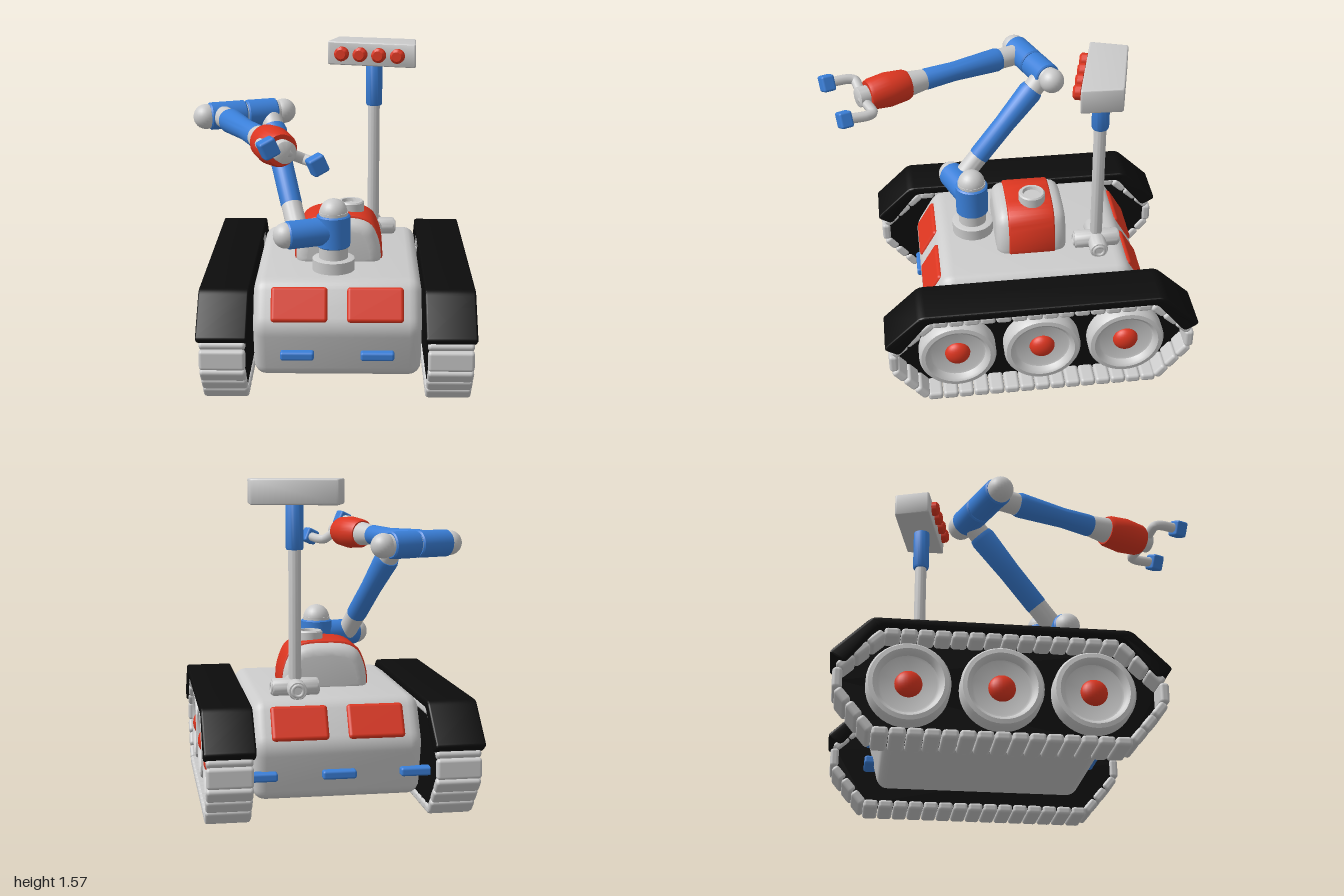
import * as THREE from 'three';
import { toCreasedNormals } from 'three/addons/utils/BufferGeometryUtils.js';
import { RoundedBoxGeometry } from 'three/addons/geometries/RoundedBoxGeometry.js';

const mat = (color) => new THREE.MeshStandardMaterial({ color });
const grey = mat(0xcccccc), red = mat(0xdd3620), blue = mat(0x3a7fd8), black = mat(0x0c0c0c);
const V = (x, y, z) => new THREE.Vector3(x, y, z);

function add(parent, name, geometry, material, x = 0, y = 0, z = 0) {
  const mesh = new THREE.Mesh(geometry, material);
  mesh.name = name;
  mesh.position.set(x, y, z);
  parent.add(mesh);
  return mesh;
}

// Closed outline with every corner rounded by about r
function roundedShape(points, r) {
  const shape = new THREE.Shape();
  const p = points.map(([x, y]) => new THREE.Vector2(x, y));
  p.forEach((c, i) => {
    const prev = p[(i + p.length - 1) % p.length], next = p[(i + 1) % p.length];
    const toward = (q) => c.clone().add(q.clone().sub(c).setLength(Math.min(r, q.distanceTo(c) * 0.45)));
    const a = toward(prev), b = toward(next);
    if (i) shape.lineTo(a.x, a.y); else shape.moveTo(a.x, a.y);
    shape.quadraticCurveTo(c.x, c.y, b.x, b.y);
  });
  shape.closePath();
  return shape;
}

// Extrusion centred on its depth, bevelled inside the outline
function slab(shape, width, bevel) {
  const g = new THREE.ExtrudeGeometry(shape, {
    depth: width - 2 * bevel, bevelEnabled: bevel > 0, bevelSize: bevel, bevelThickness: bevel,
    bevelOffset: -bevel, bevelSegments: 4, curveSegments: 6,
  });
  g.translate(0, 0, -(width - 2 * bevel) / 2);
  return toCreasedNormals(g, 0.6);
}

// Turned part running from a to b; profile holds [fraction along, radius]
function turned(parent, name, a, b, profile, material) {
  const len = a.distanceTo(b);
  const pts = [[0, 0], ...profile.map(([t, r]) => [r, t * len]), [0, len]].map((q) => new THREE.Vector2(...q));
  const mesh = add(parent, name, toCreasedNormals(new THREE.LatheGeometry(pts, 28), 0.6), material, a.x, a.y, a.z);
  mesh.quaternion.setFromUnitVectors(V(0, 1, 0), b.clone().sub(a).normalize());
  return mesh;
}
const rod = (parent, name, a, b, r, material, r2 = r) =>
  turned(parent, name, a, b, [[0, r * 0.9], [0.04, r], [0.96, r2], [1, r2 * 0.9]], material);
const ball = (parent, name, p, r, material) => add(parent, name, new THREE.SphereGeometry(r, 24, 16), material, p.x, p.y, p.z);

// One track unit, wheels facing +x
function createTrack(name) {
  const track = new THREE.Group();
  track.name = name;
  const half = [[0.53, 0.488], [0.725, 0.31], [0.725, 0.21], [0.57, 0.022]];
  const path = [...half, ...half.map(([z, y]) => [-z, y]).reverse()];

  // Tread pads laid along each straight of the belt
  path.forEach(([z0, y0], i) => {
    const [z1, y1] = path[(i + 1) % path.length];
    const len = Math.hypot(z1 - z0, y1 - y0), n = Math.max(1, Math.round(len / 0.078));
    const pad = new RoundedBoxGeometry(0.214, 0.044, len / n * 0.97, 2, 0.016);
    for (let k = 0; k < n; k++) {
      const t = (k + 0.5) / n;
      const m = add(track, 'treadPad', pad, grey, 0.525, y0 + (y1 - y0) * t, z0 + (z1 - z0) * t);
      m.rotation.x = -Math.atan2(y1 - y0, z1 - z0);
    }
  });

  // Dark core behind the wheels
  const core = slab(roundedShape(path, 0.02), 0.09, 0);
  add(track, 'trackCore', core.rotateY(Math.PI / 2), black, 0.475);

  // Mudguard over the top run
  const right = [[0.585, 0.55], [0.77, 0.37], [0.695, 0.325], [0.55, 0.508]];
  const guard = [...right, ...right.map(([z, y]) => [-z, y]).reverse()];
  add(track, 'mudguard', slab(roundedShape(guard, 0.025), 0.235, 0.01).rotateY(Math.PI / 2), black, 0.525);

  // Three dished wheels with domed hubs
  const rim = [[0, 0], [0.17, 0], [0.188, 0.02], [0.188, 0.085], [0.178, 0.1], [0.158, 0.103], [0.145, 0.095],
    [0.135, 0.07], [0.125, 0.066], [0, 0.066]].map((q) => new THREE.Vector2(...q));
  const wheel = toCreasedNormals(new THREE.LatheGeometry(rim, 40), 0.7).rotateZ(-Math.PI / 2);
  for (const z of [-0.414, 0, 0.414]) {
    add(track, 'wheel', wheel, grey, 0.515, 0.26, z);
    add(track, 'wheelHub', new THREE.SphereGeometry(0.062, 24, 16), red, 0.58, 0.26, z).scale.x = 0.7;
  }
  return track;
}

function createBody() {
  const body = new THREE.Group();
  body.name = 'body';
  const outline = [[0.5, 0.08], [0.565, 0.35], [0.45, 0.55], [-0.45, 0.55], [-0.565, 0.35], [-0.5, 0.08]];
  add(body, 'hull', slab(roundedShape(outline, 0.05), 0.8, 0.06).rotateY(Math.PI / 2), grey);

  // Panels and light bars at both ends
  for (const end of [1, -1]) {
    for (const x of [-0.18, 0.18]) {
      const panel = add(body, 'slopePanel', new RoundedBoxGeometry(0.27, 0.17, 0.04, 3, 0.018), red, x, 0.445, end * 0.502);
      panel.rotation.x = -end * 0.525;
    }
    for (const x of end > 0 ? [-0.19, 0.19] : [-0.37, 0, 0.37])
      add(body, 'lightBar', new RoundedBoxGeometry(0.16, 0.042, 0.06, 2, 0.012), blue, x, 0.21, end * 0.545);
  }

  // Domed housing with a band and a vent
  const dome = (w, top) => roundedShape([[-w, 0.5], [w, 0.5], [w, 0.63], [w * 0.72, top], [-w * 0.72, top], [-w, 0.63]], 0.12);
  add(body, 'housing', slab(dome(0.21, 0.76), 0.35, 0.055), grey);
  add(body, 'housingBand', slab(dome(0.218, 0.772), 0.23, 0.01), red);
  const vent = [[0.05, 0.7], [0.066, 0.7], [0.066, 0.805], [0.06, 0.812], [0.046, 0.812], [0.042, 0.795], [0, 0.795]];
  add(body, 'vent', toCreasedNormals(new THREE.LatheGeometry(vent.map((q) => new THREE.Vector2(...q)), 28), 0.6), grey, 0.06, 0, -0.015);

  // Cross-shaped mast foot
  for (const [dx, dz] of [[0.11, 0], [0, 0.11]]) {
    const c = V(0.177, 0.585, -0.325), d = V(dx, 0, dz);
    rod(body, 'mastFoot', c.clone().sub(d), c.clone().add(d), 0.045, grey);
    for (const s of [-1, 1])
      add(body, 'mastFootRing', new THREE.TorusGeometry(0.026, 0.008, 8, 20).rotateY(dx ? Math.PI / 2 : 0), grey,
        c.x + s * dx, c.y, c.z + s * dz);
  }
  return body;
}

function createMast() {
  const mast = new THREE.Group();
  mast.name = 'sensorMast';
  rod(mast, 'mastPole', V(0.35, 0.57, -0.12), V(0.35, 1.26, -0.12), 0.03, grey);
  rod(mast, 'mastSleeve', V(0.35, 1.24, -0.12), V(0.35, 1.46, -0.12), 0.042, blue);
  const plan = [[0.16, 0.27], [0.41, -0.12], [0.55, 0.02], [0.32, 0.36]];
  add(mast, 'sensorHead', slab(roundedShape(plan, 0.012), 0.12, 0.008).rotateX(-Math.PI / 2), grey, 0, 1.512, 0);
  // Row of lenses along the head's face
  for (let i = 0; i < 4; i++) {
    const p = V(0.2 + i * 0.052, 1.512, -0.2 + i * 0.082), out = V(-0.84, 0, 0.54);
    turned(mast, 'lens', p, p.clone().addScaledVector(out, 0.036), [[0, 0.036], [0.7, 0.036], [1, 0.024]], red);
  }
  return mast;
}

function createArm() {
  const arm = new THREE.Group();
  arm.name = 'roboticArm';
  const px = -0.205, pz = 0.19;
  // Turntable and shoulder post
  rod(arm, 'turntable', V(px, 0.52, pz), V(px, 0.61, pz), 0.103, grey);
  rod(arm, 'postNeck', V(px, 0.6, pz), V(px, 0.69, pz), 0.07, grey);
  rod(arm, 'shoulderPost', V(px, 0.665, pz), V(px, 0.825, pz), 0.081, blue);
  rod(arm, 'postCollar', V(px, 0.81, pz), V(px, 0.84, pz), 0.07, grey);
  ball(arm, 'postCap', V(px, 0.835, pz), 0.068, grey);
  const shoulder = V(-0.43, 0.745, 0.103);
  rod(arm, 'shoulderJoint', V(px, 0.745, pz), shoulder, 0.068, blue);
  ball(arm, 'shoulderCap', shoulder, 0.063, grey);

  // Upper arm
  const a = V(-0.36, 0.745, 0.11), b = V(-0.17, 1.24, -0.33);
  const at = (p, q, t) => p.clone().lerp(q, t);
  rod(arm, 'upperArmCollar', a, at(a, b, 0.25), 0.05, grey);
  turned(arm, 'upperArm', at(a, b, 0.2), at(a, b, 0.87), [[0, 0.046], [0.05, 0.052], [0.5, 0.053], [0.95, 0.062], [1, 0.056]], blue);
  rod(arm, 'elbowCollar', at(a, b, 0.85), b, 0.052, grey);

  // Two-part elbow with round caps
  const e0 = V(-0.1, 1.24, -0.31), e1 = V(-0.475, 1.24, -0.455);
  ball(arm, 'elbowCap', e0, 0.062, grey);
  ball(arm, 'elbowCap', e1, 0.062, grey);
  rod(arm, 'elbowCore', e0, e1, 0.056, grey);
  rod(arm, 'innerElbow', at(e0, e1, 0.1), at(e0, e1, 0.485), 0.068, blue);
  rod(arm, 'outerElbow', at(e0, e1, 0.5), at(e0, e1, 0.96), 0.068, blue);

  // Forearm and wrist
  const f0 = V(-0.405, 1.24, -0.42), f1 = V(-0.695, 1.255, 0.42);
  rod(arm, 'forearmCollar', f0, at(f0, f1, 0.2), 0.053, grey);
  turned(arm, 'forearm', at(f0, f1, 0.14), at(f0, f1, 0.64), [[0, 0.054], [0.05, 0.06], [0.6, 0.049], [0.95, 0.054], [1, 0.048]], blue);
  rod(arm, 'wristCollar', at(f0, f1, 0.62), at(f0, f1, 0.76), 0.052, grey, 0.066);
  turned(arm, 'wrist', at(f0, f1, 0.73), at(f0, f1, 0.975), [[0, 0.07], [0.08, 0.078], [0.5, 0.087], [0.92, 0.078], [1, 0.07]], red);
  rod(arm, 'palm', at(f0, f1, 0.95), at(f0, f1, 1.035), 0.05, grey);

  // Two bent fingers with padded tips
  const fingers = [
    [V(-0.7, 1.257, 0.425), V(-0.785, 1.295, 0.385), V(-0.815, 1.305, 0.42), V(-0.85, 1.31, 0.51)],
    [V(-0.69, 1.253, 0.435), V(-0.605, 1.212, 0.445), V(-0.605, 1.21, 0.49), V(-0.65, 1.22, 0.59)],
  ];
  for (const pts of fingers) {
    const curve = new THREE.CatmullRomCurve3(pts, false, 'catmullrom', 0.3);
    add(arm, 'finger', new THREE.TubeGeometry(curve, 24, 0.025, 10), grey);
    const tip = add(arm, 'fingerTip', new RoundedBoxGeometry(0.075, 0.08, 0.065, 2, 0.012), blue, ...pts[3]);
    tip.lookAt(pts[3].clone().add(V(-0.35, 0.02, 0.94)));
    tip.rotateZ(0.42);
  }
  return arm;
}

export function createModel() {
  const model = new THREE.Group();
  model.name = 'trackedRobot';
  // The chassis stands turned to the front
  const chassis = new THREE.Group();
  chassis.name = 'chassis';
  chassis.rotation.y = -0.744;
  const rightTrack = createTrack('rightTrack');
  rightTrack.rotation.y = Math.PI;
  chassis.add(createBody(), createTrack('leftTrack'), rightTrack);
  model.add(chassis, createMast(), createArm());
  return model;
}
